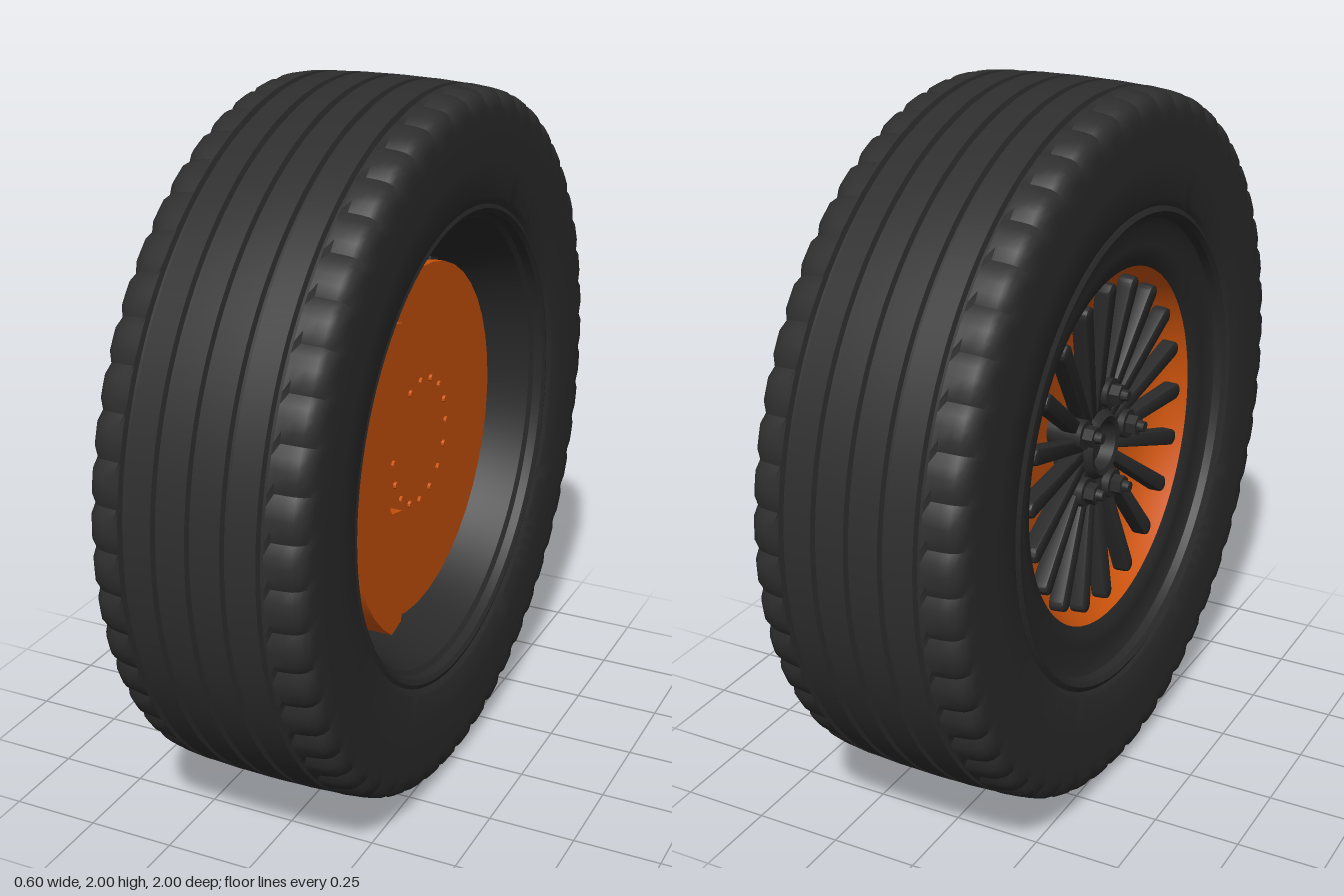
import * as THREE from 'three';
import { toCreasedNormals } from 'three/addons/utils/BufferGeometryUtils.js';

const paint = (color) => new THREE.MeshStandardMaterial({ color, side: THREE.DoubleSide });
const rubber = paint(0x2e2e2e);
const metal = paint(0x2a2a2a);
const orange = paint(0xd0550d);

// Revolves [radius, x] points around the axle (the x axis).
function turned(points, segments = 96) {
  const geo = new THREE.LatheGeometry(points.map(([r, x]) => new THREE.Vector2(r, x)), segments);
  return geo.rotateZ(-Math.PI / 2);
}

function add(parent, name, geo, material, crease = 0.6) {
  const mesh = new THREE.Mesh(crease ? toCreasedNormals(geo, crease) : geo, material);
  mesh.name = name;
  parent.add(mesh);
  return mesh;
}

// Solid cylinder along the axle between x0 and x1.
function axial(r0, r1, x0, x1, sides) {
  return new THREE.CylinderGeometry(r1, r0, x1 - x0, sides)
    .rotateZ(-Math.PI / 2).translate((x0 + x1) / 2, 0, 0);
}

// Copies of a part spread around the axle.
function ring(parent, name, count, build, offset = 0) {
  for (let i = 0; i < count; i++) {
    const g = new THREE.Group();
    g.name = name;
    build(g);
    g.rotation.x = offset + (i / count) * Math.PI * 2;
    parent.add(g);
  }
}

function tire() {
  // Sidewall and shoulder on one side, from bead to tread edge
  const side = [[0.655, 0.25], [0.66, 0.278], [0.68, 0.285], [0.69, 0.292], [0.7, 0.296], [0.8, 0.3],
    [0.9, 0.3], [0.935, 0.299], [0.96, 0.296], [0.976, 0.285], [0.985, 0.27], [0.99, 0.245], [0.993, 0.215]];
  const points = side.map(([r, x]) => [r, -x]);
  // Five grooves around the tread
  for (const x of [-0.19, -0.095, 0, 0.095, 0.19]) {
    const r = 1 - 0.15 * x * x;
    points.push([r, x - 0.01], [r - 0.016, x - 0.006], [r - 0.016, x + 0.006], [r, x + 0.01]);
  }
  points.push(...side.slice().reverse());

  // Shoulder notches: every fourth column of the shoulder is pressed in
  const segments = 208;
  const geo = turned(points, segments);
  const pos = geo.attributes.position;
  for (let i = 0; i < pos.count; i++) {
    const x = pos.getX(i), y = pos.getY(i), z = pos.getZ(i);
    const column = Math.floor(i / points.length);
    if (column % 4 === 0 && Math.hypot(y, z) > 0.94 && Math.abs(x) > 0.21) {
      pos.setXYZ(i, x * 0.985, y * 0.988, z * 0.988);
    }
  }
  return geo;
}

function spoke() {
  const s = new THREE.Shape();
  s.moveTo(-0.012, 0.08);
  s.lineTo(-0.019, 0.45);
  s.absarc(0, 0.46, 0.019, Math.PI, 0, true);
  s.lineTo(0.012, 0.08);
  return new THREE.ExtrudeGeometry(s, {
    depth: 0.03, bevelSize: 0.005, bevelThickness: 0.008, bevelSegments: 2, curveSegments: 6,
  }).rotateY(-Math.PI / 2).rotateZ(0.1).translate(-0.14, 0, 0);
}

function caliper() {
  const s = new THREE.Shape();
  const inner = [[-0.31, 0.45], [-0.25, 0.436], [-0.214, 0.29], [-0.235, 0.206], [-0.214, 0.147],
    [-0.246, 0.1], [-0.31, 0.085], [-0.322, 0.07]];
  inner.forEach(([x, y], i) => (i ? s.lineTo(x, y) : s.moveTo(x, y)));
  inner.slice().reverse().forEach(([x, y]) => s.lineTo(x, -y));
  // Faceted outer arc back to the top
  const a = Math.atan2(0.45, 0.31);
  for (let i = 1; i < 14; i++) {
    const t = Math.PI + a - (2 * a * i) / 14;
    s.lineTo(Math.cos(t) * 0.546, Math.sin(t) * 0.546);
  }
  return new THREE.ExtrudeGeometry(s, { depth: 0.16, bevelEnabled: false })
    .rotateY(Math.PI / 2).translate(0.06, 0, 0);
}

export function createModel() {
  const model = new THREE.Group();
  model.name = 'wheel';
  const wheel = new THREE.Group();
  wheel.name = 'wheelAssembly';
  wheel.position.y = 1;
  model.add(wheel);

  add(wheel, 'tire', tire(), rubber);

  // Rim: flange, tapering barrel and outer lip
  add(wheel, 'rimBarrel', turned([
    [0.515, -0.235], [0.53, -0.1], [0.57, 0.06], [0.61, 0.18], [0.635, 0.245], [0.65, 0.255],
    [0.655, 0.28], [0.668, 0.288], [0.682, 0.284], [0.682, 0.25],
  ]), metal);
  add(wheel, 'rimLip', turned([
    [0.682, -0.25], [0.682, -0.288], [0.668, -0.295], [0.655, -0.285], [0.648, -0.262], [0.62, -0.25],
    [0.57, -0.252], [0.535, -0.248], [0.51, -0.235],
  ]), metal);

  // Coloured dish behind the spokes
  add(wheel, 'rimDish', turned([[0.515, -0.235], [0.48, -0.18], [0.42, -0.135], [0.3, -0.11], [0.0, -0.1]]), orange, 1);

  // Spokes, hub and wheel nuts
  const spokeGeo = spoke();
  ring(wheel, 'spoke', 20, (g) => add(g, 'spokeBar', spokeGeo, metal, 0.6));
  add(wheel, 'hub', turned([[0, -0.165], [0.065, -0.165], [0.07, -0.205], [0.085, -0.21],
    [0.095, -0.2], [0.11, -0.17], [0.12, -0.1]], 40), metal);
  ring(wheel, 'wheelNut', 5, (g) => {
    const nut = new THREE.Group();
    nut.name = 'nutStack';
    nut.position.y = 0.15;
    g.add(nut);
    add(nut, 'nutSeat', axial(0.042, 0.045, -0.21, -0.11, 20), metal);
    add(nut, 'nutBody', axial(0.03, 0.03, -0.24, -0.2, 6), metal);
    add(nut, 'studTip', axial(0.015, 0.018, -0.26, -0.23, 14), metal);
  }, 0.25);

  // Brake rotor with vanes behind its face
  add(wheel, 'brakeDisc', axial(0.508, 0.508, 0.13, 0.16, 40), orange);
  add(wheel, 'rotorCore', axial(0.48, 0.48, 0.03, 0.13, 40), metal);
  ring(wheel, 'rotorVane', 20, (g) => {
    add(g, 'vaneBlock', new THREE.BoxGeometry(0.1, 0.05, 0.05).translate(0.08, 0.49, 0), metal);
  });
  ring(wheel, 'rotorStud', 16, (g) => {
    add(g, 'studHead', axial(0.01, 0.01, 0.15, 0.168, 8).translate(0, 0.18, 0), orange);
  });

  add(wheel, 'brakeCaliper', caliper(), orange, 0.3);
  return model;
}
